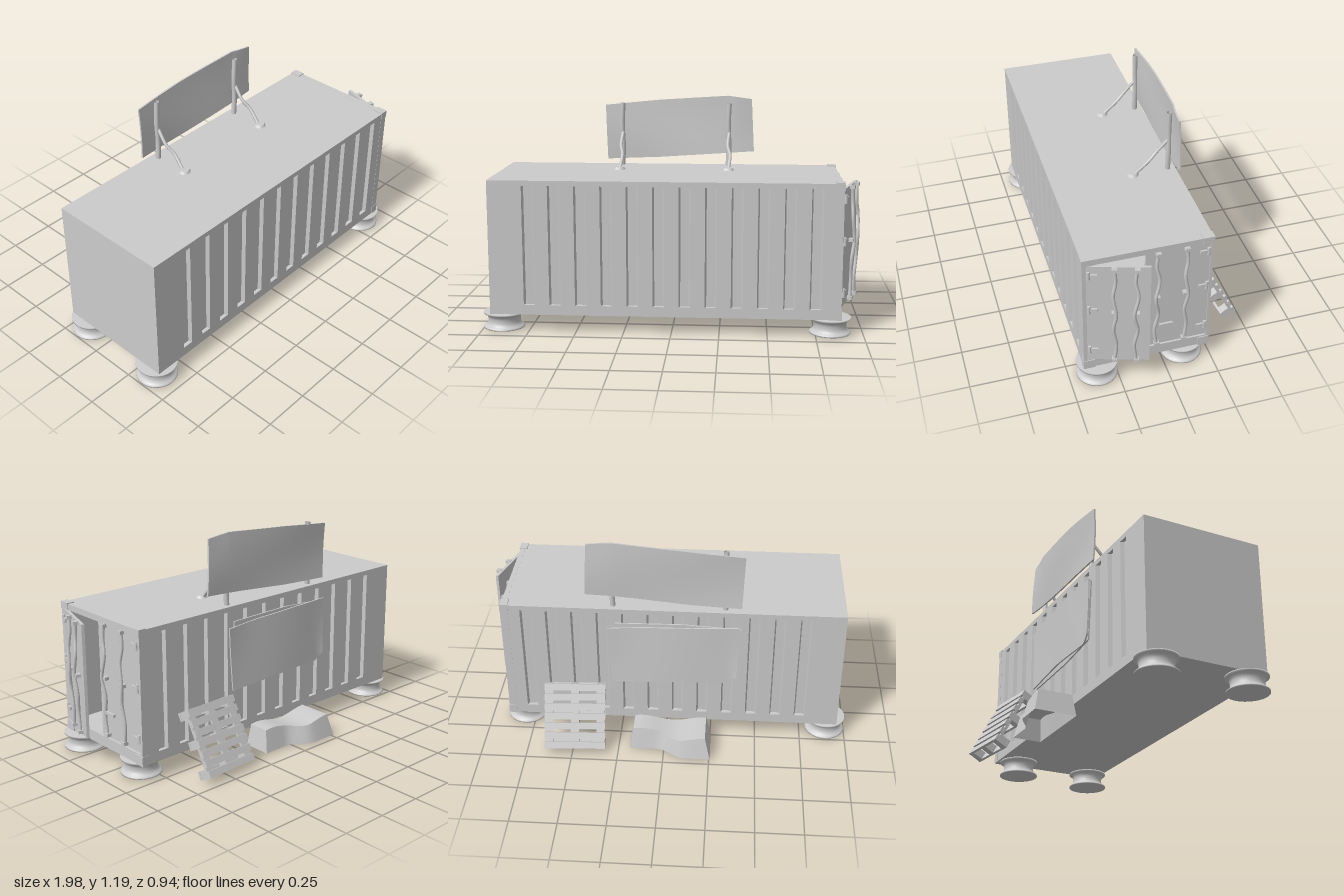
import * as THREE from 'three';

const mat = new THREE.MeshStandardMaterial({ color: 0xcccccc, side: THREE.DoubleSide });
const V = (x, y, z) => new THREE.Vector3(x, y, z);

function add(parent, name, geo, x = 0, y = 0, z = 0) {
  const m = new THREE.Mesh(geo, mat);
  m.name = name;
  m.position.set(x, y, z);
  parent.add(m);
  return m;
}

// Box given by its min and max corners
function span(parent, name, x0, x1, y0, y1, z0, z1) {
  return add(parent, name, new THREE.BoxGeometry(x1 - x0, y1 - y0, z1 - z0),
    (x0 + x1) / 2, (y0 + y1) / 2, (z0 + z1) / 2);
}

// Round bar through a few points
function bar(parent, name, pts, r, sides = 8) {
  return add(parent, name, new THREE.TubeGeometry(new THREE.CatmullRomCurve3(pts), pts.length * 4, r, sides));
}

// Long wall with recessed channels; outer face at z, s is the outward direction
function corrugatedWall(parent, name, z, s) {
  const inner = z - s * 0.035, low = z - s * 0.02;
  const shape = new THREE.Shape();
  shape.moveTo(-0.95, -inner);
  shape.lineTo(-0.95, -z);
  shape.lineTo(-0.77, -z);
  const ribs = 12, step = 1.62 / ribs;
  for (let i = 0; i < ribs; i++) {
    const x = -0.77 + i * step;
    shape.lineTo(x + 0.008, -low);
    shape.lineTo(x + 0.052, -low);
    shape.lineTo(x + 0.06, -z);
    shape.lineTo(x + step, -z);
  }
  shape.lineTo(0.85, -inner);
  const geo = new THREE.ExtrudeGeometry(shape, { depth: 0.63, bevelEnabled: false });
  geo.rotateX(-Math.PI / 2);
  add(parent, name, geo, 0, 0.14, 0);
}

// Door leaf hinged at its origin, reaching along d * z, with bent lock rods
function door(name, d, w, rods) {
  const g = new THREE.Group();
  g.name = name;
  add(g, 'doorPanel', new THREE.BoxGeometry(0.016, 0.615, w), 0, 0.46, d * w / 2);
  for (const [i, dz] of rods.entries()) {
    const z = d * dz, b = i ? 0.012 : -0.01;
    bar(g, 'lockRod', [V(0.02, 0.16, z), V(0.021, 0.27, z + b), V(0.026, 0.38, z - b * 0.4),
      V(0.034, 0.48, z + b), V(0.028, 0.6, z - b * 0.6), V(0.021, 0.68, z + b * 0.6), V(0.02, 0.77, z)], 0.009);
    for (const y of [0.17, 0.48, 0.76])
      add(g, 'rodBracket', new THREE.BoxGeometry(0.026, 0.018, 0.026), 0.02, y, z);
  }
  for (const y of [0.225, 0.495, 0.715]) {
    add(g, 'hingePin', new THREE.CylinderGeometry(0.009, 0.009, 0.045, 8), 0.012, y, d * 0.012);
    add(g, 'hingeArm', new THREE.BoxGeometry(0.012, 0.018, 0.05), 0.012, y, d * 0.03);
  }
  return g;
}

// Point on a polyline, u from 0 to 1
function along(pts, u) {
  const f = Math.min(u * (pts.length - 1), pts.length - 1.0001), i = Math.floor(f), t = f - i;
  return [0, 1].map(k => pts[i][k] * (1 - t) + pts[i + 1][k] * t);
}

// Battered metal sheet between a top and a bottom edge, bent by a rule
function sheet(parent, name, top, bottom, thick, bend) {
  const geo = new THREE.BoxGeometry(1, 1, thick, 18, 8, 1), p = geo.attributes.position;
  for (let i = 0; i < p.count; i++) {
    const u = p.getX(i) + 0.5, v = p.getY(i) + 0.5;
    const a = along(bottom, u), b = along(top, u);
    p.setXYZ(i, a[0] + (b[0] - a[0]) * v, a[1] + (b[1] - a[1]) * v, p.getZ(i) + bend(u, v));
  }
  geo.computeVertexNormals();
  add(parent, name, geo);
}

// Upturned open bin with a curved back and a wavy crown
function bin(parent) {
  const geo = new THREE.BoxGeometry(1, 1, 1, 14, 1, 6), p = geo.attributes.position;
  const skip = geo.groups[3], idx = Array.from(geo.index.array);
  idx.splice(skip.start, skip.count);
  geo.setIndex(idx);
  geo.clearGroups();
  for (let i = 0; i < p.count; i++) {
    const u = p.getX(i) + 0.5, v = p.getZ(i) + 0.5, up = p.getY(i) > 0 ? 1 : 0;
    const back = -0.47 + 0.07 * THREE.MathUtils.smoothstep(u, 0.33, 0.65);
    const inset = up * 0.028;
    const x = THREE.MathUtils.lerp(-0.255 + inset, 0.187 - inset * 0.7, u);
    const z = THREE.MathUtils.lerp(back + inset, -0.245 - inset * 0.4, v);
    p.setXYZ(i, x, up * (0.108 + 0.013 * Math.cos(u * 7)), z);
  }
  geo.computeVertexNormals();
  add(parent, 'upturnedBin', geo);
}

// Slatted pallet, slats facing local -z
function pallet() {
  const g = new THREE.Group();
  g.name = 'pallet';
  for (let i = 0; i < 7; i++) {
    const slat = add(g, 'palletSlat', new THREE.BoxGeometry(0.33, 0.036, 0.013), 0, -0.16 + i * 0.0535, -0.033);
    slat.rotation.z = 0.012 * Math.sin(i * 2.3);
  }
  for (const x of [-0.14, 0, 0.14]) {
    add(g, 'palletRunner', new THREE.BoxGeometry(0.045, 0.355, 0.014), x, 0, -0.019);
    for (const y of [-0.155, 0, 0.155])
      add(g, 'palletBlock', new THREE.BoxGeometry(0.045, 0.045, 0.04), x, y, 0.008);
  }
  for (const y of [-0.155, 0, 0.155])
    add(g, 'palletBaseBoard', new THREE.BoxGeometry(0.33, 0.045, 0.012), 0, y, 0.034);
  g.position.set(0.49, 0.172, -0.348);
  g.rotation.set(0.48, 0.1, 0.03, 'YXZ');
  return g;
}

export function createModel() {
  const model = new THREE.Group();

  // Container shell
  const shell = new THREE.Group();
  shell.name = 'container';
  model.add(shell);
  span(shell, 'roof', -0.95, 0.87, 0.77, 0.797, -0.23, 0.43);
  span(shell, 'floor', -0.95, 0.87, 0.087, 0.14, -0.23, 0.43);
  span(shell, 'endWall', -0.95, -0.92, 0.14, 0.77, -0.2, 0.4);
  corrugatedWall(shell, 'frontWall', 0.43, 1);
  corrugatedWall(shell, 'backWall', -0.23, -1);
  span(shell, 'doorHeader', 0.85, 0.876, 0.765, 0.798, -0.23, 0.43);
  span(shell, 'doorSill', 0.85, 0.876, 0.087, 0.145, -0.23, 0.43);
  for (const [z0, z1, c0, c1] of [[0.412, 0.431, 0.373, 0.433], [-0.231, -0.216, -0.233, -0.173]]) {
    span(shell, 'cornerPost', 0.838, 0.878, 0.087, 0.8, z0, z1);
    span(shell, 'topCornerCasting', 0.838, 0.881, 0.763, 0.803, c0, c1);
    span(shell, 'bottomCornerCasting', 0.838, 0.881, 0.085, 0.138, c0, c1);
  }

  // Doors: one shut, one ajar
  const shut = door('shutDoor', 1, 0.33, [0.125, 0.27]);
  shut.position.set(0.864, 0, -0.217);
  add(shut, 'doorHandle', new THREE.BoxGeometry(0.012, 0.015, 0.07), 0.03, 0.3, 0.225);
  model.add(shut);
  const ajar = door('openDoor', -1, 0.31, [0.135, 0.245]);
  ajar.position.set(0.872, 0, 0.41);
  ajar.rotation.y = -0.3;
  model.add(ajar);

  // Cable spools as feet
  const profile = [[0, 0], [0.108, 0], [0.108, 0.007], [0.1, 0.012], [0.09, 0.02], [0.085, 0.034], [0.085, 0.052],
    [0.09, 0.066], [0.1, 0.074], [0.108, 0.078], [0.108, 0.086], [0, 0.086]].map(a => new THREE.Vector2(...a));
  for (const [x, z] of [[-0.892, 0.352], [-0.892, -0.145], [0.828, 0.352], [0.8, -0.112]])
    add(model, 'spoolFoot', new THREE.LatheGeometry(profile, 28), x, 0, z);

  // Roof sheet on two braced posts
  sheet(model, 'roofSheet',
    [[-0.41, 1.13], [-0.1, 1.16], [0.28, 1.185], [0.41, 1.168]],
    [[-0.4, 0.825], [-0.1, 0.838], [0.2, 0.86], [0.425, 0.875]], 0.009,
    (u, v) => -0.222 + 0.016 * u - 0.006 * Math.sin(u * 6) + 0.006 * Math.sin(v * 3 + u * 4));
  for (const x of [-0.31, 0.285]) {
    bar(model, 'sheetPost', [V(x - 0.005, 0.79, -0.19), V(x, 0.9, -0.19), V(x - 0.005, 1.02, -0.19), V(x, 1.145, -0.19)], 0.014);
    bar(model, 'sheetBrace', [V(x, 0.8, -0.01), V(x + 0.007, 0.87, -0.08), V(x - 0.006, 0.91, -0.125), V(x, 0.98, -0.185)], 0.009);
    const pad = add(model, 'bracePad', new THREE.CylinderGeometry(0.024, 0.034, 0.014, 8), x, 0.803, 0.002);
    pad.rotation.y = Math.PI / 8;
  }

  // Two overlapping sheets patched on the back wall
  sheet(model, 'backPatchOuter',
    [[-0.39, 0.712], [-0.15, 0.71], [0.1, 0.7], [0.31, 0.685]],
    [[-0.385, 0.4], [-0.33, 0.36], [-0.05, 0.36], [0.29, 0.34]], 0.008,
    (u, v) => -0.246 + 0.005 * Math.sin(u * 7 + v * 2) - 0.004 * (1 - v));
  sheet(model, 'backPatchInner',
    [[-0.4, 0.7], [-0.1, 0.72], [0.27, 0.715]],
    [[-0.37, 0.375], [-0.1, 0.345], [0.275, 0.335]], 0.008,
    () => -0.235);

  bin(model);
  model.add(pallet());
  return model;
}
